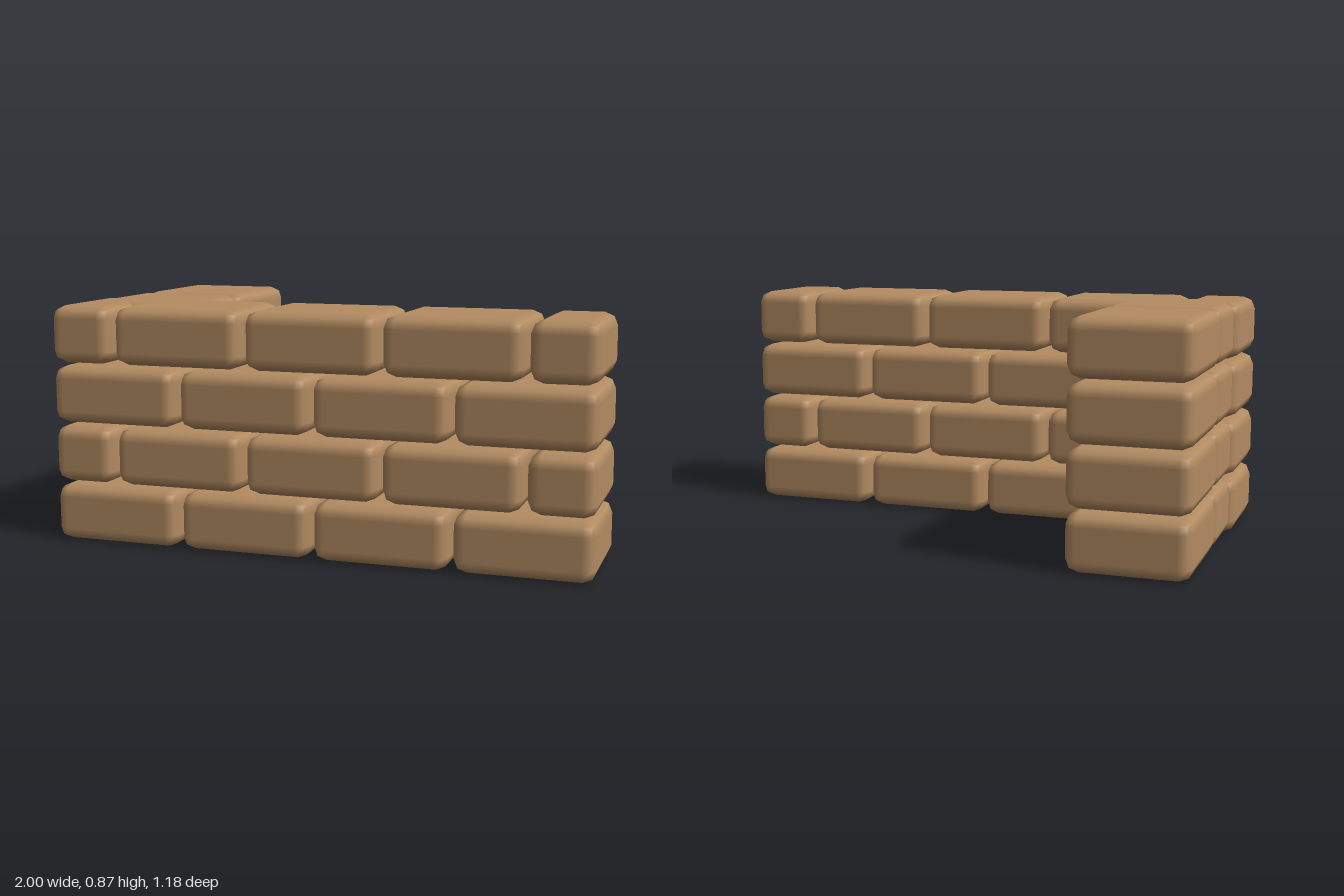
import * as THREE from 'three';
import { RoundedBoxGeometry } from 'three/addons/geometries/RoundedBoxGeometry.js';

const LENGTH = 0.488, HEIGHT = 0.21, DEPTH = 0.437, HALF = 0.236;
const PITCH = 0.504, COURSE = 0.2207, BEVEL = 0.046;

export function createModel() {
  const model = new THREE.Group();
  model.name = 'cornerWall';
  const clay = new THREE.MeshStandardMaterial({ name: 'tanBrick', color: 0xb48c62 });

  // Softly bevelled brick shapes
  const longBrick = new RoundedBoxGeometry(LENGTH, HEIGHT, DEPTH, 1, BEVEL);
  const halfBrick = new RoundedBoxGeometry(HALF, HEIGHT, DEPTH, 1, BEVEL);
  const wingBrick = new RoundedBoxGeometry(DEPTH, HEIGHT, LENGTH, 1, BEVEL);

  const addBrick = (parent, name, geometry, x, z) => {
    const brick = new THREE.Mesh(geometry, clay);
    brick.name = name;
    brick.position.set(x, 0, z);
    parent.add(brick);
  };

  const wallZ = 0.371, wingX = -0.759;
  for (let row = 0; row < 4; row++) {
    const course = new THREE.Group();
    course.name = `course${row + 1}`;
    course.position.y = HEIGHT / 2 + row * COURSE;

    // Front wall in running bond: odd courses end in half bricks
    if (row % 2 === 0) {
      for (let i = 0; i < 4; i++) addBrick(course, 'wallBrick', longBrick, (i - 1.5) * PITCH, wallZ);
    } else {
      for (let i = -1; i <= 1; i++) addBrick(course, 'wallBrick', longBrick, i * PITCH, wallZ);
      for (const side of [-1, 1]) addBrick(course, 'halfBrick', halfBrick, side * (1 - HALF / 2), wallZ);
    }

    // Return wing running back, its inner brick bedded into the front wall
    addBrick(course, 'wingBrick', wingBrick, wingX, -0.347);
    addBrick(course, 'wingBrick', wingBrick, wingX, 0.135);
    model.add(course);
  }
  return model;
}
